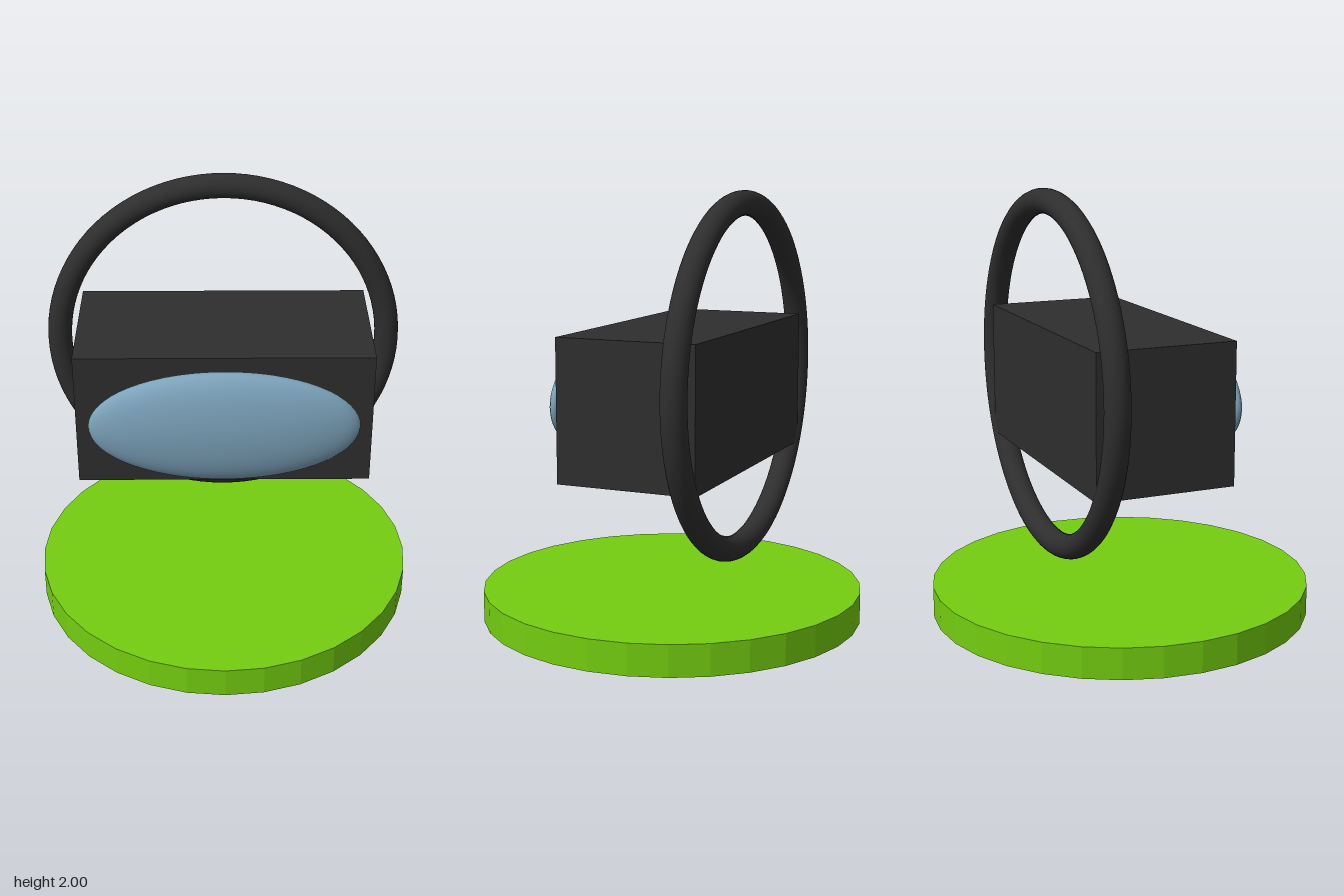
import * as THREE from 'three';

export function createModel() {
  const model = new THREE.Group();
  model.name = 'model';

  const green = new THREE.MeshStandardMaterial({ color: 0x74cd10 });
  green.name = 'green';
  green.flatShading = true;
  const charcoal = new THREE.MeshStandardMaterial({ color: 0x2e2e2e });
  charcoal.name = 'charcoal';
  const blue = new THREE.MeshStandardMaterial({ color: 0x7ca3bb });
  blue.name = 'dusty blue';

  const add = (name, geometry, material, x, y, z) => {
    const mesh = new THREE.Mesh(geometry, material);
    mesh.name = name;
    mesh.position.set(x, y, z);
    model.add(mesh);
    return mesh;
  };

  // Faceted round base
  add('base', new THREE.CylinderGeometry(0.895, 0.895, 0.145, 32), green, 0, 0.0725, 0);

  // Floating box body, its back just inside the ring's rear
  add('body', new THREE.BoxGeometry(1.34, 0.645, 0.65), charcoal, 0, 1.0625, -0.07);

  // Upright ring around the back of the body
  add('ring', new THREE.TorusGeometry(0.787, 0.057, 24, 96), charcoal, 0, 1.157, -0.348);

  // Domed oval lens, half sunk into the front of the body
  const lens = add('lens', new THREE.SphereGeometry(1, 48, 32), blue, 0, 1.0625, 0.305);
  lens.scale.set(0.61, 0.278, 0.097);

  return model;
}
